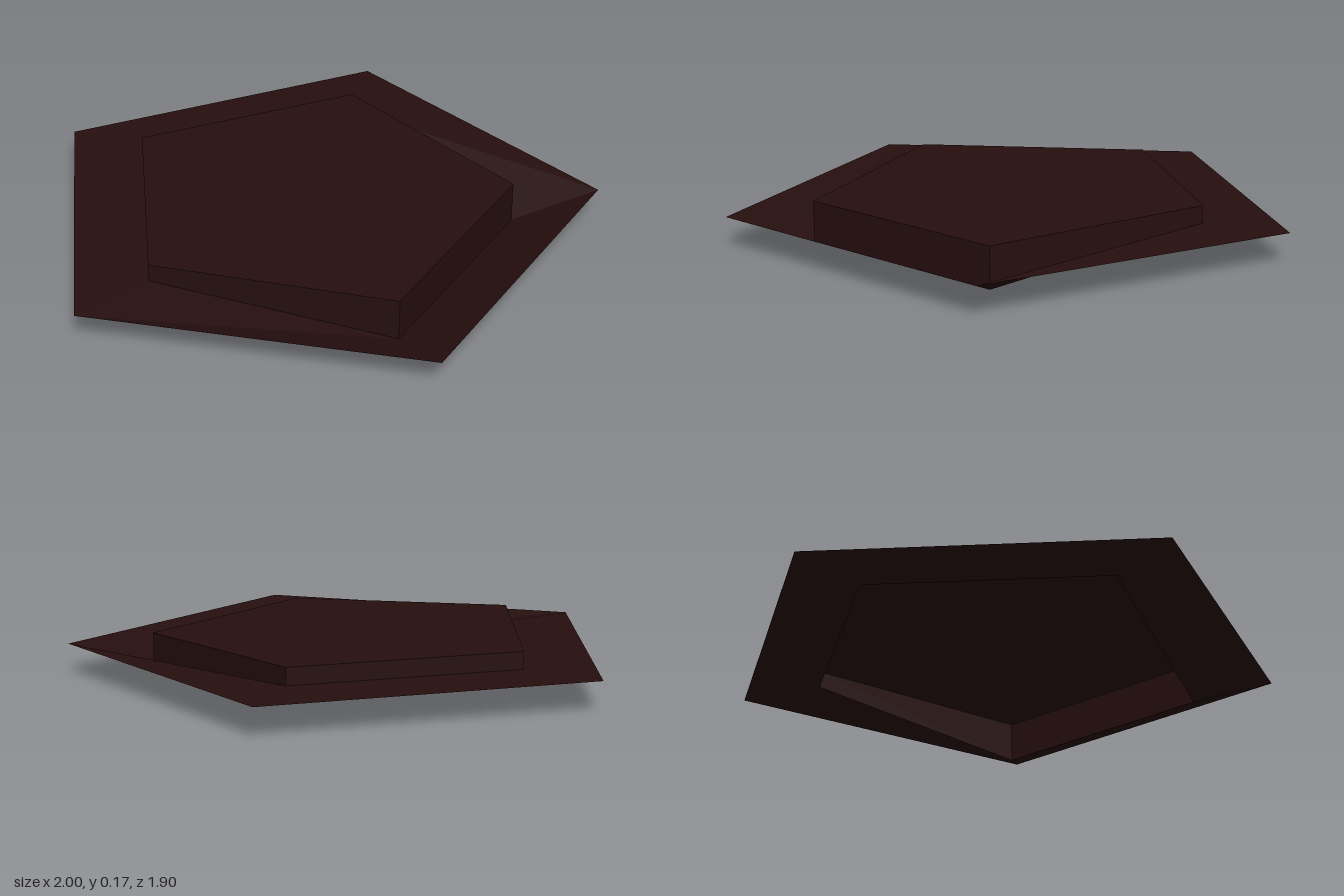
import * as THREE from 'three';

// Pentagon corners in order: back, left, front left, front right, right
const outer = [[0, 0.11, -0.95], [1, 0.11, -0.225], [0.617, 0.11, 0.95], [-0.617, 0.11, 0.95], [-1, 0.11, -0.225]];
const base = [[0, 0.11, -0.63], [0.70, 0, -0.13], [0.433, 0, 0.697], [-0.433, 0.11, 0.697], [-0.70, 0.11, -0.13]];
const topHeights = [0.174, 0.152, 0.152, 0.174, 0.174];
const top = base.map(([x, , z], i) => [x, topHeights[i], z]);

// Band of triangles joining a lower or outer loop to an upper or inner one
function band(a, b) {
  return a.flatMap((_, i) => {
    const j = (i + 1) % a.length;
    return [a[i], b[i], a[j], a[j], b[i], b[j]];
  });
}

// Fan that closes a loop, facing up
function cap(loop) {
  const points = [];
  for (let i = 1; i < loop.length - 1; i++) points.push(loop[0], loop[i + 1], loop[i]);
  return points;
}

function addPart(group, name, points, material) {
  const geometry = new THREE.BufferGeometry();
  geometry.setAttribute('position', new THREE.Float32BufferAttribute(points.flat(), 3));
  geometry.computeVertexNormals();
  const mesh = new THREE.Mesh(geometry, material);
  mesh.name = name;
  group.add(mesh);
}

export function createModel() {
  const group = new THREE.Group();
  group.name = 'pentagonPlate';
  const material = new THREE.MeshStandardMaterial({ color: 0x260e0e, side: THREE.DoubleSide, flatShading: true });
  material.name = 'darkMaroon';

  addPart(group, 'rim', band(outer, base), material); // dips at the two left corners
  addPart(group, 'raisedWalls', band(base, top), material);
  addPart(group, 'topPanel', cap(top), material); // open underneath
  return group;
}
